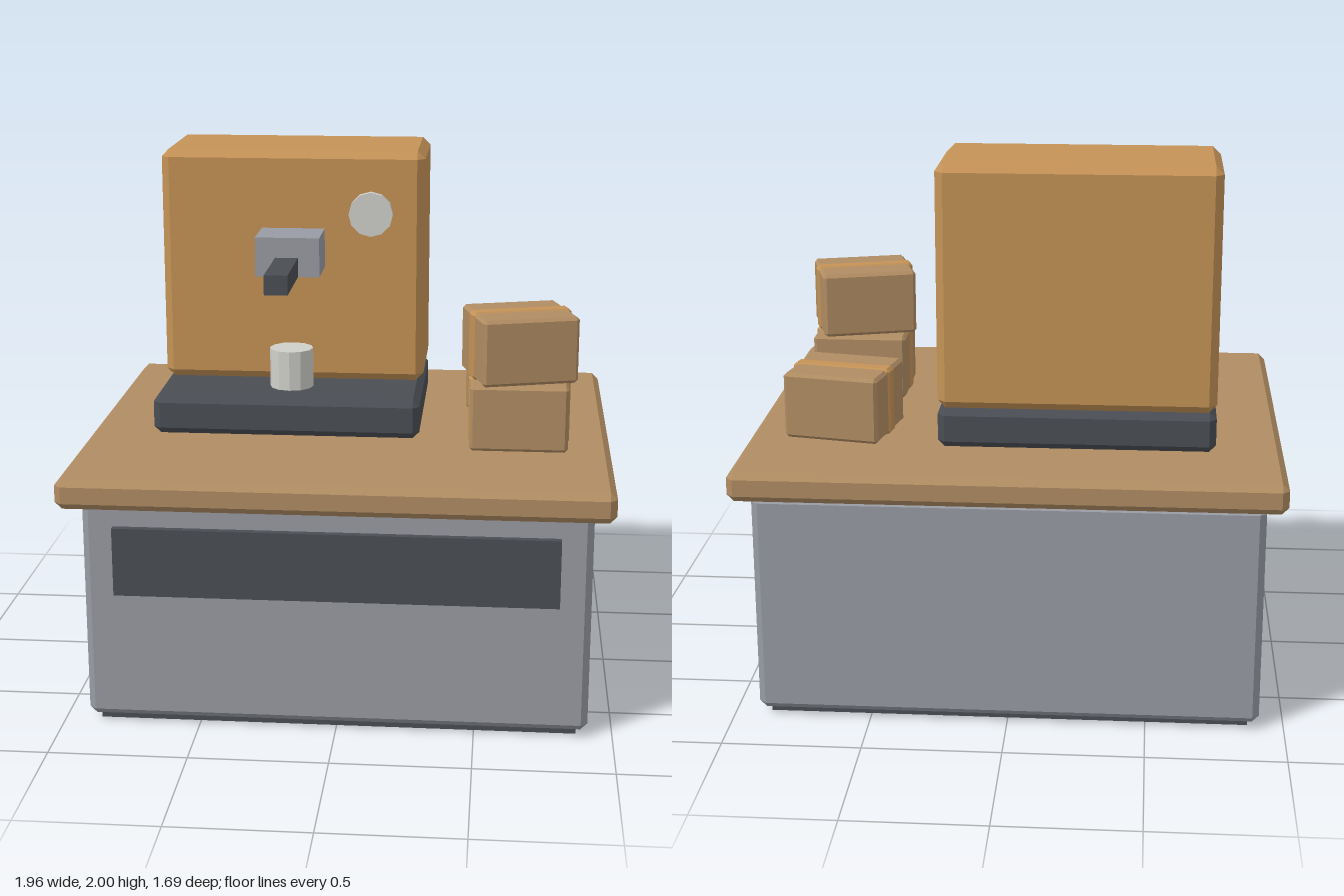
import * as THREE from 'three';
import { ConvexGeometry } from 'three/addons/geometries/ConvexGeometry.js';

const mat = (name, color) => {
  const m = new THREE.MeshStandardMaterial({ color });
  m.name = name;
  return m;
};

// Box with flat chamfered edges: each corner becomes three points.
function chamferBox(w, h, d, b) {
  const pts = [];
  for (const x of [-1, 1]) for (const y of [-1, 1]) for (const z of [-1, 1]) {
    for (const [i, j, k] of [[0, b, b], [b, 0, b], [b, b, 0]]) {
      pts.push(new THREE.Vector3(x * (w / 2 - i), y * (h / 2 - j), z * (d / 2 - k)));
    }
  }
  return new ConvexGeometry(pts);
}

export function createModel() {
  const model = new THREE.Group();
  model.name = 'coffeeCounter';

  const wood = mat('wood brown', 0xb08c62);
  const amber = mat('amber', 0xc49256);
  const grey = mat('steel grey', 0x989ba3);
  const dark = mat('charcoal', 0x4a4e54);
  const cream = mat('pale ceramic', 0xcfcfca);

  const add = (parent, name, geometry, material, x = 0, y = 0, z = 0) => {
    const mesh = new THREE.Mesh(geometry, material);
    mesh.name = name;
    mesh.position.set(x, y, z);
    parent.add(mesh);
    return mesh;
  };

  // Box given by its limits on each axis, chamfered when bevel > 0.
  const block = (name, material, [x0, x1], [y0, y1], [z0, z1], bevel = 0) => {
    const size = [x1 - x0, y1 - y0, z1 - z0];
    const geometry = bevel ? chamferBox(...size, bevel) : new THREE.BoxGeometry(...size);
    return add(model, name, geometry, material, (x0 + x1) / 2, (y0 + y1) / 2, (z0 + z1) / 2);
  };

  // Counter
  block('plinth', dark, [-0.87, 0.87], [0, 0.05], [-0.73, 0.69]);
  block('cabinet', grey, [-0.91, 0.91], [0.025, 0.852], [-0.775, 0.73], 0.025);
  block('frontPanel', dark, [-0.797, 0.797], [0.507, 0.76], [0.72, 0.757]);
  block('worktop', wood, [-0.98, 0.98], [0.852, 0.963], [-0.845, 0.845], 0.025);

  // Coffee machine
  block('machineBase', dark, [-0.735, 0.27], [0.963, 1.11], [-0.52, 0.245], 0.025);
  block('machineBody', amber, [-0.735, 0.27], [1.11, 2], [-0.525, -0.05], 0.03);
  block('brewHead', grey, [-0.35, -0.11], [1.558, 1.705], [-0.06, 0.158]);
  block('handle', dark, [-0.275, -0.19], [1.558, 1.63], [0.15, 0.487]);

  // Round parts
  const cup = new THREE.CylinderGeometry(0.083, 0.083, 0.15, 12).toNonIndexed();
  cup.computeVertexNormals();
  add(model, 'cup', cup, cream, -0.23, 1.185, 0.04);
  const dial = new THREE.CylinderGeometry(0.084, 0.084, 0.035, 12).toNonIndexed();
  dial.computeVertexNormals();
  dial.rotateX(Math.PI / 2);
  add(model, 'gauge', dial, cream, 0.067, 1.765, -0.0375);

  // Parcels, each with a band of tape around its length
  const parcels = [
    [0.64, 0.963, 0.225, 0],
    [0.637, 1.215, 0.227, 0.285],
    [0.637, 0.963, -0.325, -0.19],
  ];
  for (const [x, y, z, turn] of parcels) {
    const parcel = new THREE.Group();
    parcel.name = 'parcel';
    parcel.position.set(x, y, z);
    parcel.rotation.y = turn;
    add(parcel, 'carton', chamferBox(0.36, 0.246, 0.31, 0.012), wood, 0, 0.125, 0);
    add(parcel, 'tape', chamferBox(0.375, 0.252, 0.066, 0.012), amber, 0, 0.127, 0);
    model.add(parcel);
  }

  return model;
}
